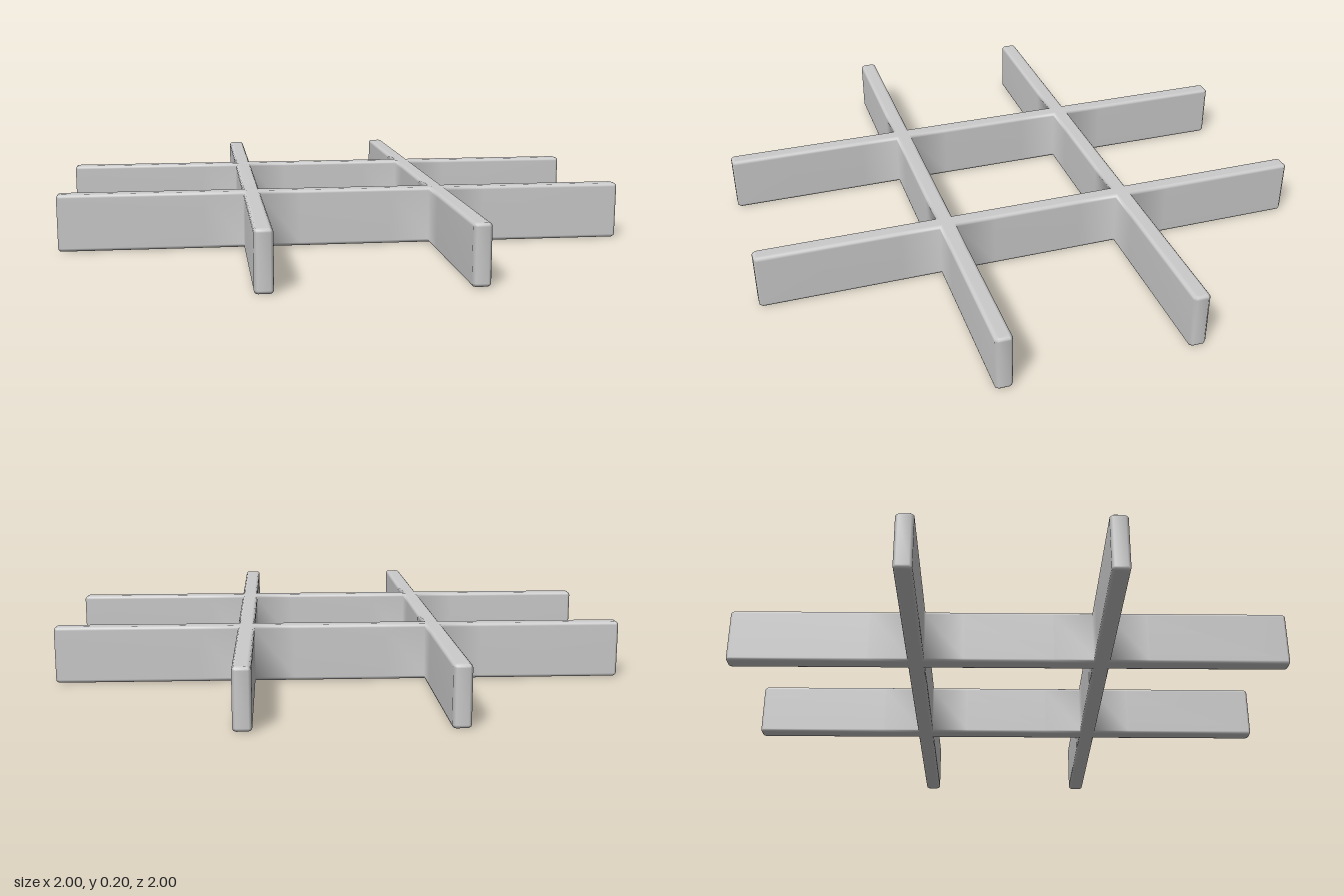
import * as THREE from 'three';
import { mergeVertices } from 'three/addons/utils/BufferGeometryUtils.js';

const INNER = 0.30, OUTER = 0.36; // bar faces, measured from the centre
const HEIGHT = 0.2, BEVEL = 0.012;
const CORNER = 0.01; // chamfer of the upright edges at the bar ends
const BLEND = 0.14;  // length over which shading blends out of a crossing

// Repeats one side's points around the four sides of the grid
function fourSides(points) {
  const out = [];
  const center = new THREE.Vector2();
  for (let k = 0; k < 4; k++) {
    for (const [x, y] of points) {
      out.push(new THREE.Vector2(x, y).rotateAround(center, k * Math.PI / 2));
    }
  }
  return out;
}

// One bar end running from a crossing out to the tip and back
function barEnd(lo, hi) {
  return [
    [OUTER, lo], [OUTER + BLEND, lo], [1 - CORNER, lo], [1, lo + CORNER],
    [1, hi - CORNER], [1 - CORNER, hi], [OUTER + BLEND, hi], [OUTER, hi],
  ];
}

export function createModel() {
  const group = new THREE.Group();
  group.name = 'crossedBarGrid';

  // Outline of the crossed bars: two bar ends on each side
  const outline = fourSides([
    ...barEnd(-OUTER, -INNER),
    [OUTER, -INNER + BLEND], [OUTER, INNER - BLEND],
    ...barEnd(INNER, OUTER).slice(0, -1),
  ]);
  const shape = new THREE.Shape(outline);

  // Square opening in the middle
  shape.holes.push(new THREE.Path(fourSides([
    [INNER, -INNER], [INNER, -INNER + BLEND], [INNER, INNER - BLEND],
  ])));

  let geometry = new THREE.ExtrudeGeometry(shape, {
    depth: HEIGHT - 2 * BEVEL,
    bevelThickness: BEVEL,
    bevelSize: BEVEL,
    bevelOffset: -BEVEL,
    bevelSegments: 3,
  });
  geometry.rotateX(-Math.PI / 2);
  geometry.translate(0, BEVEL, 0);

  // Weld the surface so the shading is smooth throughout
  geometry.deleteAttribute('normal');
  geometry.deleteAttribute('uv');
  geometry = mergeVertices(geometry);
  geometry.computeVertexNormals();

  const bars = new THREE.Mesh(geometry, new THREE.MeshStandardMaterial({ color: 0xcccccc }));
  bars.name = 'crossedBars';
  group.add(bars);
  return group;
}
